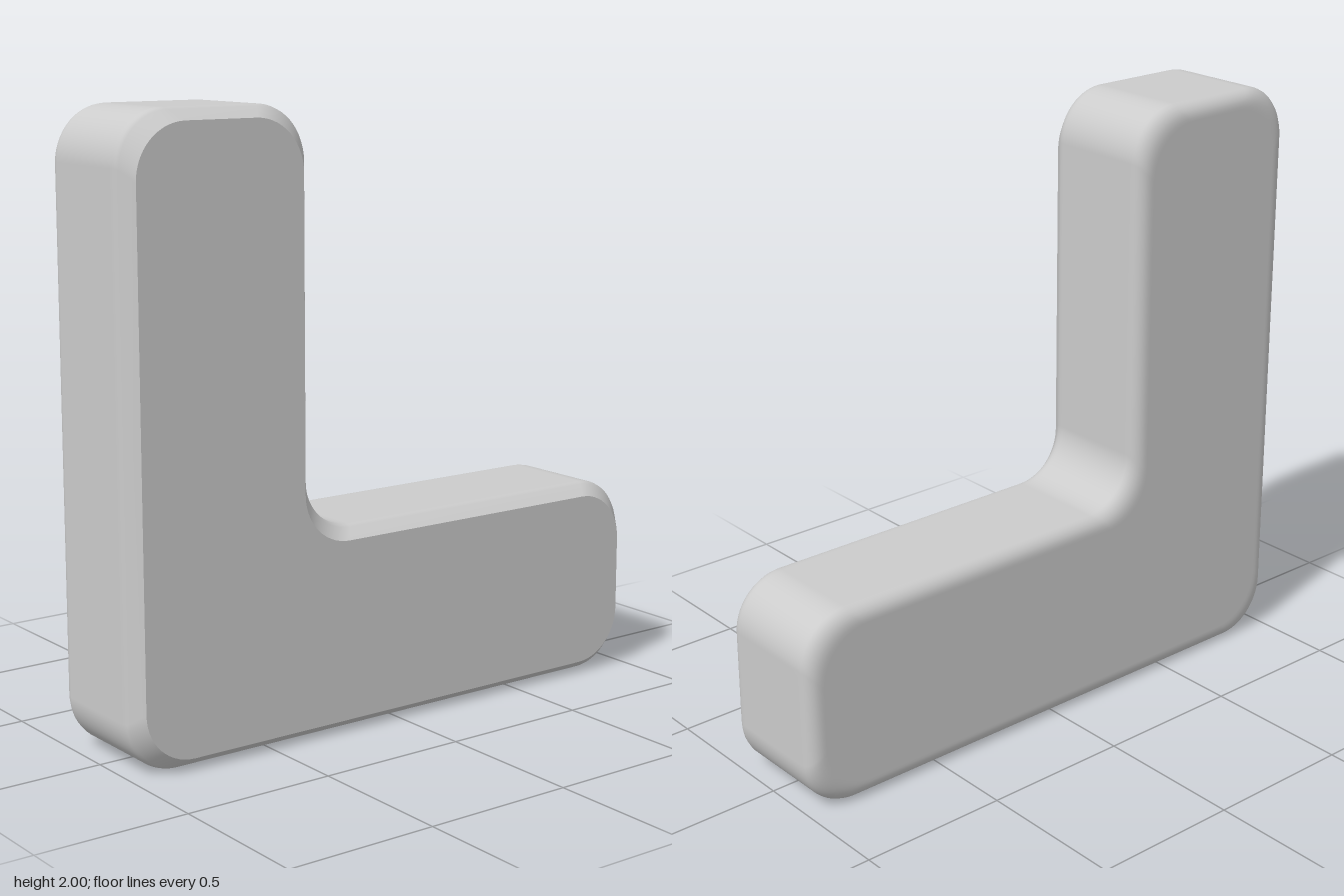
import * as THREE from 'three';

// Corners of the L, counter-clockwise: x, y, and the direction an inset moves them
const corners = [
  [-1, 0, 1, 1], [1, 0, -1, 1], [1, 0.667, -1, -1],
  [-0.337, 0.667, -1, -1], [-0.337, 2, -1, -1], [-1, 2, 1, -1],
];
const RADIUS = 0.17, STEPS = 14;

// Rounded L outline, moved inwards by the inset
function outline(inset) {
  const p = corners.map(([x, y, sx, sy]) => new THREE.Vector2(x + sx * inset, y + sy * inset));
  const n = p.length, points = [];
  for (let i = 0; i < n; i++) {
    const before = p[i].clone().sub(p[(i + n - 1) % n]).normalize();
    const after = p[(i + 1) % n].clone().sub(p[i]).normalize();
    const centre = p[i].clone().addScaledVector(after, RADIUS).addScaledVector(before, -RADIUS);
    for (let k = 0; k <= STEPS; k++) {
      const t = (k / STEPS) * Math.PI / 2;
      points.push(centre.clone()
        .addScaledVector(after, -RADIUS * Math.cos(t))
        .addScaledVector(before, RADIUS * Math.sin(t)));
    }
  }
  return points;
}

// Smooth skin through a list of [inset, z] rings; the last ring is closed as the back
function skin(rings) {
  const positions = [], index = [];
  let loop;
  for (const [inset, z] of rings) {
    loop = outline(inset);
    for (const q of loop) positions.push(q.x, q.y, z);
  }
  const n = loop.length;
  for (let r = 0; r < rings.length - 1; r++) {
    for (let k = 0; k < n; k++) {
      const a = r * n + k, b = r * n + (k + 1) % n;
      index.push(a, a + n, b, b, a + n, b + n);
    }
  }
  const base = (rings.length - 1) * n;
  for (const [a, b, c] of THREE.ShapeUtils.triangulateShape(loop, [])) {
    index.push(base + a, base + c, base + b);
  }
  const g = new THREE.BufferGeometry();
  g.setAttribute('position', new THREE.Float32BufferAttribute(positions, 3));
  g.setIndex(index);
  g.computeVertexNormals();
  return g;
}

export function createModel() {
  const group = new THREE.Group();
  group.name = 'letterBlock';
  const material = new THREE.MeshStandardMaterial({ color: 0xcccccc });
  const half = 0.217, bevel = 0.038, round = 0.05;

  // Front chamfer, walls, rounded back edge and flat back
  const rings = [[bevel, half], [0.007, 0.174], [0.002, 0.164], [0, 0.152], [0, 0.14]];
  for (let i = 0; i <= 6; i++) {
    const t = (i / 6) * Math.PI / 2;
    rings.push([round * (1 - Math.cos(t)), -half + round * (1 - Math.sin(t))]);
  }
  rings.push([round + 0.01, -half]);
  const body = new THREE.Mesh(skin(rings), material);
  body.name = 'body';

  // Flat front with a crisp border
  const face = new THREE.Mesh(new THREE.ShapeGeometry(new THREE.Shape(outline(bevel))), material);
  face.name = 'frontFace';
  face.position.z = half;

  group.add(body, face);
  return group;
}
